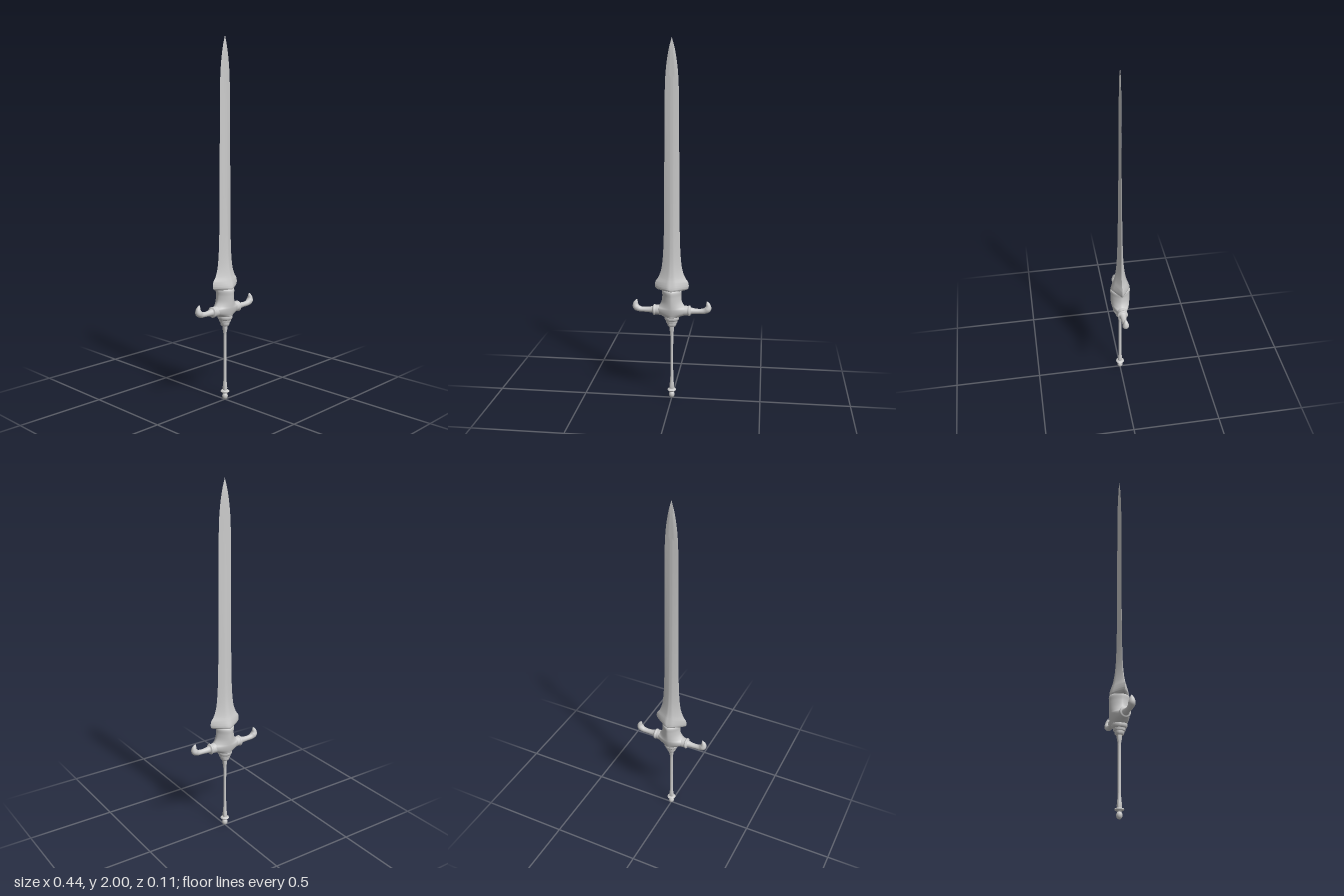
import * as THREE from 'three';
import { toCreasedNormals } from 'three/addons/utils/BufferGeometryUtils.js';

const material = new THREE.MeshStandardMaterial({ color: 0xcccccc });
const Z = new THREE.Vector3(0, 0, 1);

// Skin a row of rings; each ring has a centre, a tangent and half sizes
// across (w) and along z (d). Power 1 is an ellipse, 2 is a diamond.
function skin(rings, sides, power) {
  const position = [], index = [];
  const shape = (v) => Math.sign(v) * Math.abs(v) ** power;
  for (const { centre, tangent, w, d } of rings) {
    const across = tangent.clone().cross(Z).normalize();
    for (let j = 0; j < sides; j++) {
      const a = (j / sides) * Math.PI * 2;
      const p = centre.clone()
        .addScaledVector(Z, d * shape(Math.cos(a)))
        .addScaledVector(across, w * shape(Math.sin(a)));
      position.push(p.x, p.y, p.z);
    }
  }
  for (let i = 0; i < rings.length - 1; i++) {
    for (let j = 0; j < sides; j++) {
      const k = (j + 1) % sides;
      const a = i * sides + j, b = i * sides + k;
      index.push(a, b, a + sides, b, b + sides, a + sides);
    }
  }
  const geometry = new THREE.BufferGeometry();
  geometry.setAttribute('position', new THREE.Float32BufferAttribute(position, 3));
  geometry.setIndex(index);
  geometry.computeVertexNormals();
  return geometry;
}

// Upright loft through [y, halfWidth, halfDepth] sections, from the bottom up
function uprightLoft(sections, steps, sides, power) {
  const curve = new THREE.CatmullRomCurve3(sections.map((s) => new THREE.Vector3(...s)));
  const up = new THREE.Vector3(0, 1, 0);
  const rings = curve.getPoints(steps * (sections.length - 1)).map((p) => ({
    centre: new THREE.Vector3(0, p.x, 0), tangent: up,
    w: Math.max(p.y, 0), d: Math.max(p.z, 0),
  }));
  return skin(rings, sides, power);
}

// Tapered sweep through [x, y, radius] points
function taperedSweep(points, steps) {
  const path = new THREE.CatmullRomCurve3(points.map(([x, y]) => new THREE.Vector3(x, y, 0)));
  const radii = new THREE.CatmullRomCurve3(points.map(([, , r], i) => new THREE.Vector3(i * 0.02, r, 0)));
  const rings = [], n = steps * (points.length - 1);
  for (let i = 0; i <= n; i++) {
    const r = Math.max(radii.getPoint(i / n).y, 0);
    rings.push({ centre: path.getPoint(i / n), tangent: path.getTangent(i / n), w: r, d: r });
  }
  return skin(rings, 24, 1);
}

function lathe(points) {
  const geometry = new THREE.LatheGeometry(points.map((p) => new THREE.Vector2(...p)), 32);
  return toCreasedNormals(geometry, 0.7);
}

export function createModel() {
  const group = new THREE.Group();
  const add = (name, geometry) => {
    const mesh = new THREE.Mesh(geometry, material);
    mesh.name = name;
    group.add(mesh);
    return mesh;
  };

  // Blade with sharp edges, a soft middle ridge and flared shoulders
  add('blade', toCreasedNormals(uprightLoft([
    [0.634, 0, 0], [0.636, 0.05, 0.04], [0.643, 0.085, 0.055], [0.658, 0.094, 0.053],
    [0.685, 0.091, 0.044], [0.71, 0.075, 0.036], [0.75, 0.06, 0.028], [0.81, 0.051, 0.021],
    [0.95, 0.044, 0.015], [1.3, 0.041, 0.01], [1.6, 0.038, 0.007], [1.77, 0.036, 0.006],
    [1.86, 0.029, 0.006], [1.94, 0.016, 0.005], [2, 0, 0],
  ], 5, 24, 1.8), 0.9));

  // Guard body: flares from the blade neck out to the arms
  add('guardBody', uprightLoft([
    [0.483, 0, 0], [0.485, 0.044, 0.04], [0.495, 0.067, 0.044], [0.509, 0.09, 0.048],
    [0.522, 0.096, 0.051], [0.534, 0.092, 0.053], [0.547, 0.073, 0.054], [0.57, 0.058, 0.055],
    [0.605, 0.053, 0.056], [0.635, 0.054, 0.056], [0.644, 0.045, 0.045], [0.646, 0, 0],
  ], 5, 40, 1.25));

  // Guard arms with a collar and an upturned, bulbous hook
  const arm = taperedSweep([
    [0.03, 0.521, 0], [0.05, 0.521, 0.028], [0.09, 0.521, 0.027], [0.095, 0.521, 0.03],
    [0.102, 0.521, 0.029], [0.107, 0.521, 0.02], [0.125, 0.52, 0.016], [0.155, 0.52, 0.014],
    [0.182, 0.523, 0.016], [0.2, 0.534, 0.019], [0.204, 0.55, 0.015],
    [0.2, 0.566, 0.009], [0.195, 0.581, 0],
  ], 6);
  add('leftGuardArm', arm);
  add('rightGuardArm', arm).rotation.y = Math.PI;

  // Stepped collar under the guard
  add('gripCollar', lathe([
    [0, 0.428], [0.02, 0.428], [0.024, 0.433], [0.026, 0.442], [0.026, 0.448], [0.031, 0.45],
    [0.033, 0.456], [0.033, 0.463], [0.038, 0.466], [0.041, 0.473], [0.042, 0.482],
    [0.04, 0.49], [0, 0.493],
  ]));

  // Slender grip, swelling at both ends
  add('grip', lathe([
    [0, 0.05], [0.012, 0.05], [0.013, 0.068], [0.012, 0.085], [0.01, 0.1], [0.0085, 0.13],
    [0.008, 0.25], [0.0085, 0.37], [0.01, 0.392], [0.013, 0.405], [0.014, 0.43], [0, 0.43],
  ]));

  // Pommel ring and ball
  add('pommelRing', lathe([
    [0, 0.036], [0.011, 0.036], [0.013, 0.041], [0.022, 0.043], [0.025, 0.048],
    [0.022, 0.053], [0.014, 0.056], [0, 0.058],
  ]));
  add('pommelBall', new THREE.SphereGeometry(0.016, 24, 16).scale(1, 1.25, 1).translate(0, 0.02, 0));

  return group;
}
